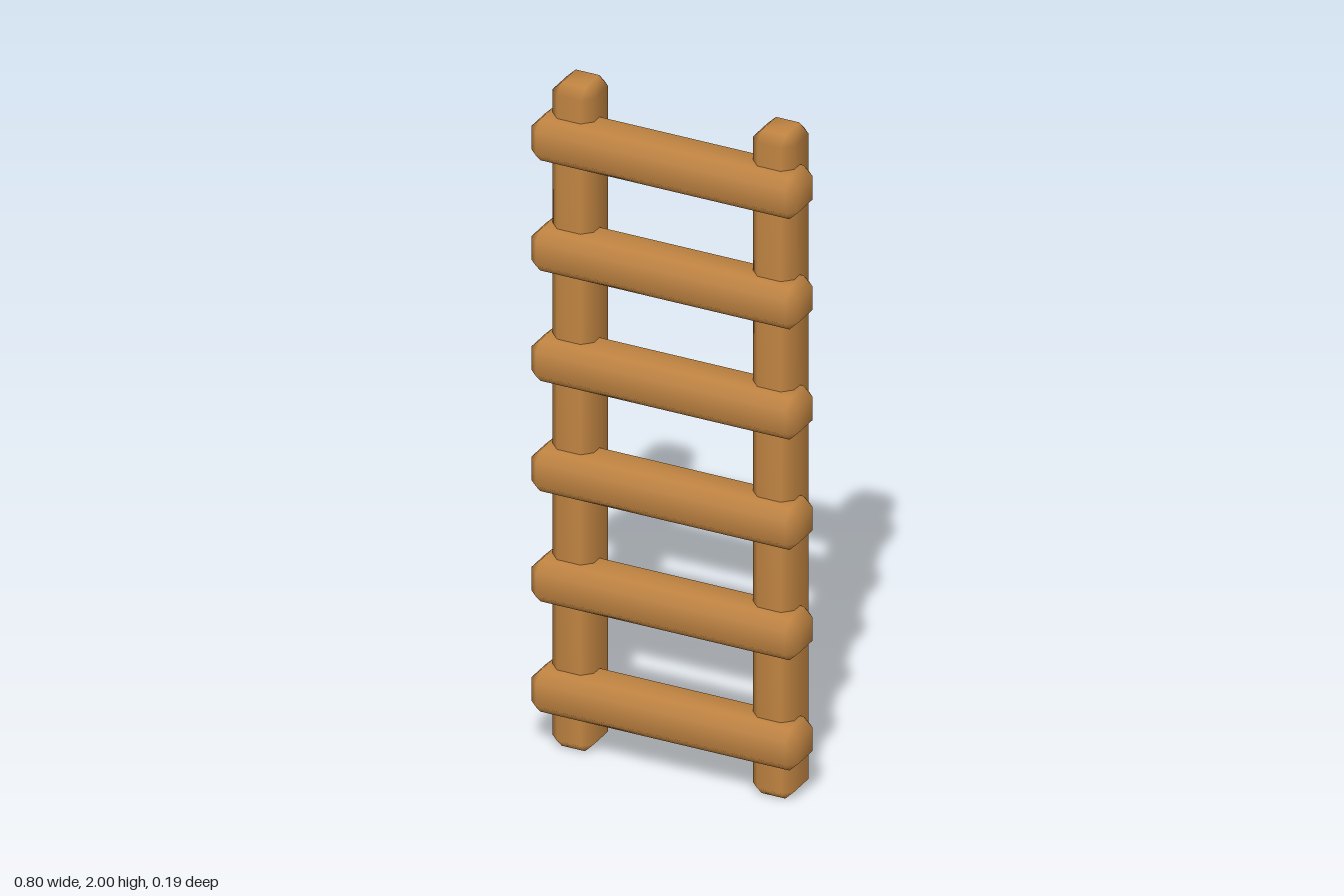
import * as THREE from 'three';
import { ConvexGeometry } from 'three/addons/geometries/ConvexGeometry.js';
import { mergeVertices } from 'three/addons/utils/BufferGeometryUtils.js';

const CHAMFER = 0.027;

// Box with every edge and corner cut off, shaded smoothly
function chamferedBeam(width, height, depth) {
  const half = [width / 2, height / 2, depth / 2];
  const points = [];
  for (const sx of [-1, 1]) for (const sy of [-1, 1]) for (const sz of [-1, 1]) {
    for (let axis = 0; axis < 3; axis++) {
      // three points per corner, each lying on one main face
      const c = half.map((h, i) => (i === axis ? h : h - CHAMFER));
      points.push(new THREE.Vector3(c[0] * sx, c[1] * sy, c[2] * sz));
    }
  }
  const hull = new ConvexGeometry(points);
  hull.deleteAttribute('normal');
  const geometry = mergeVertices(hull, 1e-4);
  geometry.computeVertexNormals();
  return geometry;
}

export function createModel() {
  const ladder = new THREE.Group();
  ladder.name = 'ladder';
  const wood = new THREE.MeshStandardMaterial({ color: 0xbf8341 });
  wood.name = 'wood';

  function addBeam(name, geometry, x, y, z) {
    const mesh = new THREE.Mesh(geometry, wood);
    mesh.name = name;
    mesh.position.set(x, y, z);
    ladder.add(mesh);
  }

  // Two upright posts
  const post = chamferedBeam(0.124, 2, 0.137);
  addBeam('leftPost', post, 0.3, 1, -0.025);
  addBeam('rightPost', post, -0.3, 1, -0.025);

  // Six rungs set into the front of the posts
  const rung = chamferedBeam(0.8, 0.124, 0.137);
  for (let i = 0; i < 6; i++) {
    addBeam(`rung${i + 1}`, rung, 0, 0.179 + i * 0.3325, 0.025);
  }
  return ladder;
}
